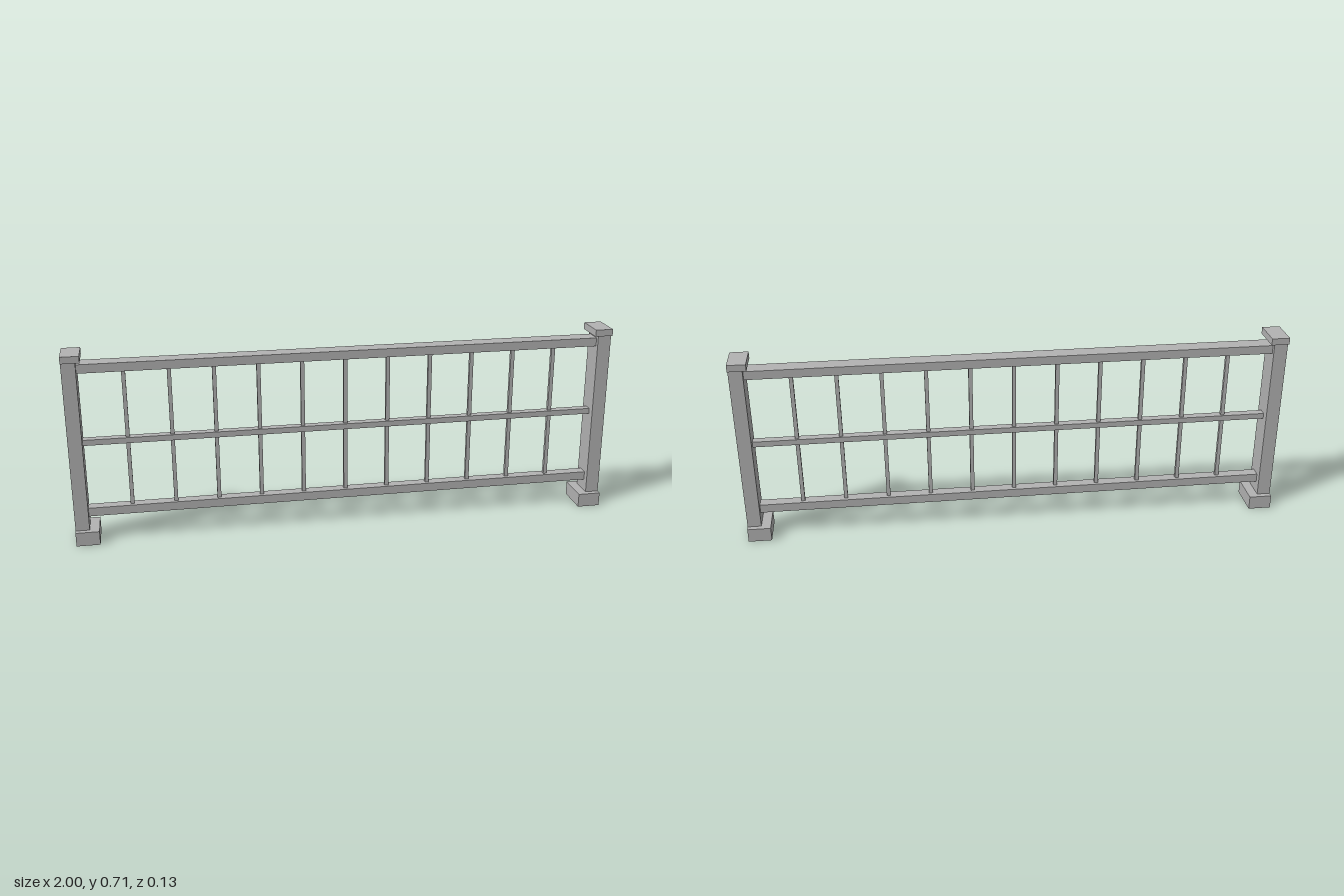
import * as THREE from 'three';

export function createModel() {
  const group = new THREE.Group();
  group.name = 'railing';
  const grey = new THREE.MeshStandardMaterial({ color: 0xb2b2b2 });
  grey.name = 'grey metal';

  // Box given by its lower and upper limits in x and y, and its depth in z
  function box(name, x0, x1, y0, y1, depth) {
    const mesh = new THREE.Mesh(new THREE.BoxGeometry(x1 - x0, y1 - y0, depth), grey);
    mesh.position.set((x0 + x1) / 2, (y0 + y1) / 2, 0);
    mesh.name = name;
    group.add(mesh);
  }

  // End posts: outer faces flush, foot and cap project inwards
  for (const [side, s] of [['left', 1], ['right', -1]]) {
    const part = (name, inner, y0, y1, depth) =>
      box(side + name, Math.min(s, s * inner), Math.max(s, s * inner), y0, y1, depth);
    part('Foot', 0.915, 0, 0.052, 0.13);
    part('Post', 0.95, 0.052, 0.685, 0.09);
    part('Cap', 0.934, 0.685, 0.71, 0.116);
  }

  // Horizontal rails between the posts
  box('topRail', -0.95, 0.95, 0.64, 0.672, 0.06);
  box('middleRail', -0.95, 0.95, 0.367, 0.388, 0.03);
  box('bottomRail', -0.95, 0.95, 0.095, 0.127, 0.04);

  // Evenly spaced upright bars
  const spacing = 1.9 / 12;
  for (let i = -5; i <= 5; i++) {
    const x = i * spacing;
    box('bar' + (i + 6), x - 0.007, x + 0.007, 0.127, 0.64, 0.014);
  }

  return group;
}
